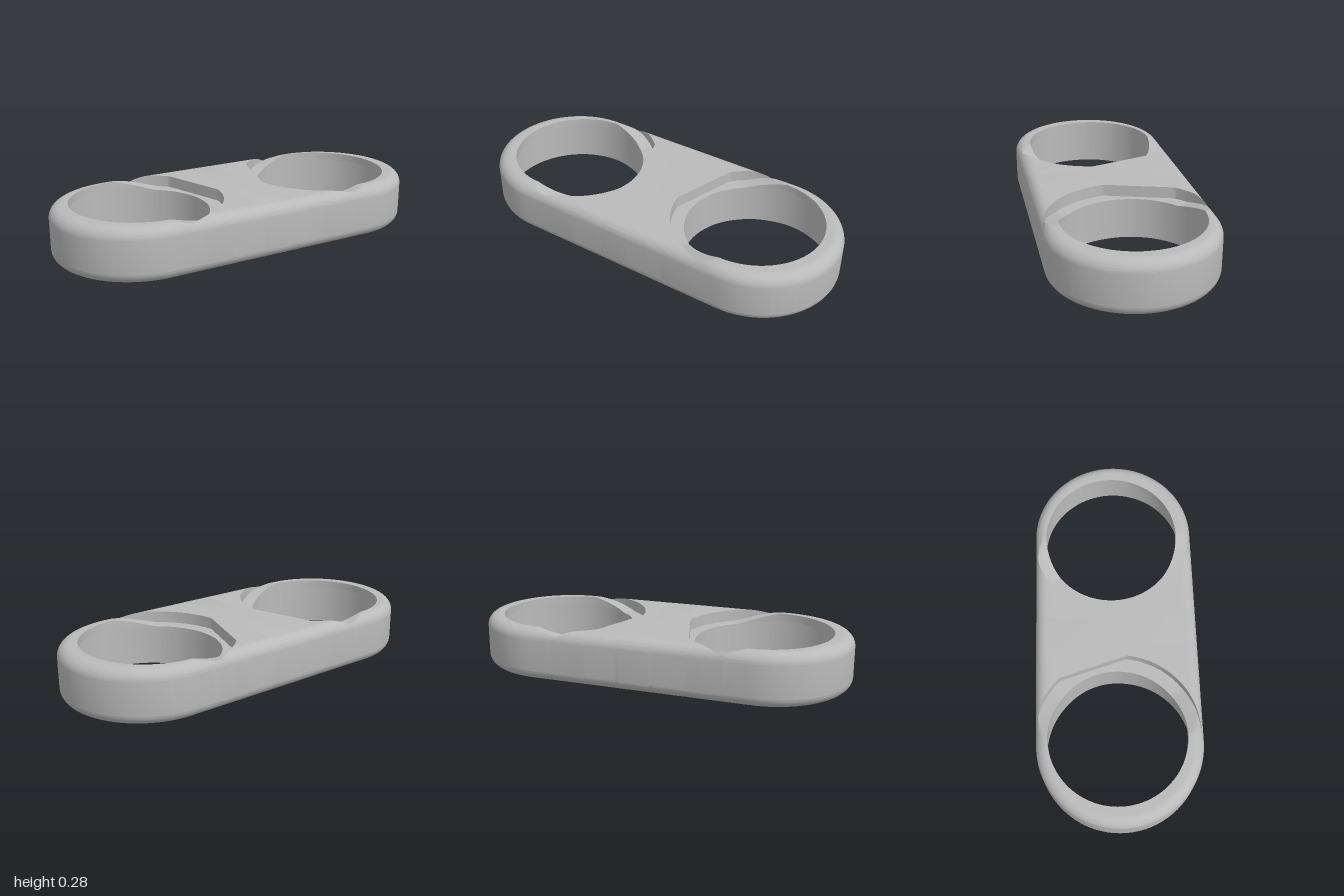
import * as THREE from 'three';
import { toCreasedNormals } from 'three/addons/utils/BufferGeometryUtils.js';

const H = 0.275, R = 0.42, CX = 0.58, F = 0.06;      // stadium body and its edge rounding
const HX = 0.55, HZ = -0.01, LIP = 0.35, BORE = 0.38; // lip opening; the wider bore is centred on CX
const RECESS = 0.42, LIP_Y = 0.235, TILT = 0.06, MID = 0.08;

// Height lost to the rounded edge at a given distance in from the border
const drop = (inset) => {
  const e = Math.min(Math.max(F - inset, 0), F);
  return F - Math.sqrt(F * F - e * e);
};
const inset = (x, z) => R - Math.hypot(Math.max(Math.abs(x) - CX, 0), z);
const clamp01 = (v) => Math.min(1, Math.max(0, v));

// Skin a grid of rows of [x, y, z]
function loft(rows, flip = false, skip = () => false) {
  const n = rows[0].length, index = [];
  for (let i = 0; i < rows.length - 1; i++) {
    for (let j = 0; j < n - 1; j++) {
      if (skip(i, j)) continue;
      const a = i * n + j, b = a + 1, c = b + n, d = a + n;
      if (flip) index.push(a, c, b, a, d, c);
      else index.push(a, b, c, a, c, d);
    }
  }
  const g = new THREE.BufferGeometry();
  g.setAttribute('position', new THREE.Float32BufferAttribute(rows.flat(2), 3));
  g.setIndex(index);
  return toCreasedNormals(g, 0.6);
}

// Distance from the opening's centre to the border of its half of the body
function reach(c, s) {
  let lo = 0, hi = 1.5;
  for (let k = 0; k < 45; k++) {
    const m = (lo + hi) / 2, x = HX + c * m, z = HZ + s * m;
    if (x >= MID && inset(x, z) >= 0) lo = m; else hi = m;
  }
  return lo;
}

// Distance from the opening's centre to the bore wall
function boreReach(c, s) {
  const dx = HX - CX, b = c * dx + s * HZ;
  const r = -b + Math.sqrt(b * b - dx * dx - HZ * HZ + BORE * BORE);
  return Math.max(r, LIP + 0.002);
}

const TAU = Math.PI * 2, N = 12;
const angleTo = (x, z) => (Math.atan2(z - HZ, x - HX) + TAU) % TAU;
const A0 = angleTo(0.13, 0.05), A1 = angleTo(0.24, -0.3); // straight cut of the recess edge
const ease = (k) => 1 - (1 - k / N) ** 2;

// Rounded edge of the body as [z, y] points, shared by the rings and the bridge
const fillet = [];
for (let k = 0; k <= 12; k++) {
  const a = (k / 12) * Math.PI / 2;
  fillet.push([R - F + F * Math.sin(a), F - F * Math.cos(a)]);
}

// One closed cross-section along a ray from the centre of the opening
function section(t, sign) {
  const c = Math.cos(t), s = Math.sin(t), end = reach(c, s), pts = [];
  const put = (r, y) => pts.push([sign * (HX + c * r), y, HZ + s * r]);
  const edge = (r) => drop(inset(HX + c * r, HZ + s * r));
  const bore = boreReach(c, s);
  let rim = RECESS;
  if (t > A0 && t < A1) {
    rim = RECESS * Math.cos((A1 - A0) / 2) / Math.cos(t - (A0 + A1) / 2);
  }
  rim = Math.min(rim, end);
  const weight = clamp01(-c * rim / 0.2), tilt = TILT * clamp01(-c / 0.6);
  // underside, out to the border
  for (let k = 0; k <= N; k++) {
    const r = bore + (end - bore) * ease(k);
    put(r, edge(r));
  }
  // top plate, in to the recess edge
  for (let k = N; k >= 0; k--) {
    const r = rim + (end - rim) * ease(k);
    put(r, H - edge(r));
  }
  // sunken ring, in to the lip
  for (let k = N; k >= 0; k--) {
    const r = LIP + (rim - LIP) * ease(k), e = edge(r);
    put(r, H - Math.max(e, tilt, e + weight * (drop(RECESS - r) - e)));
  }
  // lip, its underside, and the bore
  put(LIP, LIP_Y - tilt * 0.6);
  put(bore, LIP_Y - tilt * 0.6);
  put(bore, edge(bore));
  return pts;
}

function ringHalf(sign) {
  const angles = [A0, A1];
  for (const [z] of fillet) angles.push(angleTo(MID, z), angleTo(MID, -z));
  for (let i = 0; i <= 160; i++) angles.push((i / 160) * TAU);
  angles.sort((a, b) => a - b);
  const rows = angles.map((t) => section(t, sign));
  // leave the seam with the bridge open
  const atSeam = (p) => Math.abs(Math.abs(p[0]) - MID) < 1e-5;
  const skip = (i, j) => j === N && atSeam(rows[i][j]) && atSeam(rows[i + 1][j]);
  return loft(rows, sign < 0, skip);
}

function bridgeGeometry() {
  const front = [...fillet, ...fillet.map(([z, y]) => [z, H - y]).reverse()];
  const outline = [...front, ...front.map(([z, y]) => [-z, y]).reverse()];
  return loft([MID, -MID].map((x) => outline.map(([z, y]) => [x, y, z])));
}

export function createModel() {
  const model = new THREE.Group();
  model.name = 'doubleRingHolder';
  const grey = new THREE.MeshStandardMaterial({ color: 0xbababa });
  grey.name = 'grey';
  const add = (geometry, name) => {
    const mesh = new THREE.Mesh(geometry, grey);
    mesh.name = name;
    model.add(mesh);
  };

  add(ringHalf(1), 'leftRing');
  add(ringHalf(-1), 'rightRing');
  add(bridgeGeometry(), 'bridge');

  // Underside of the bridge with two blind screw holes
  const w = R - F, holeR = 0.028, holeZ = 0.13;
  const base = new THREE.Shape();
  base.moveTo(-MID, -w).lineTo(MID, -w).lineTo(MID, w).lineTo(-MID, w).closePath();
  for (const z of [-holeZ, holeZ]) {
    base.holes.push(new THREE.Path().absarc(0, z, holeR, 0, TAU, true));
    const rows = [];
    for (let i = 0; i <= 24; i++) {
      const t = -(i / 24) * TAU, x = holeR * Math.cos(t), dz = holeR * Math.sin(t);
      rows.push([[x, 0, z + dz], [x, 0.12, z + dz], [0, 0.12, z]]);
    }
    add(loft(rows), 'screwHole');
  }
  add(new THREE.ShapeGeometry(base, 24).rotateX(Math.PI / 2), 'bridgeUnderside');
  return model;
}
